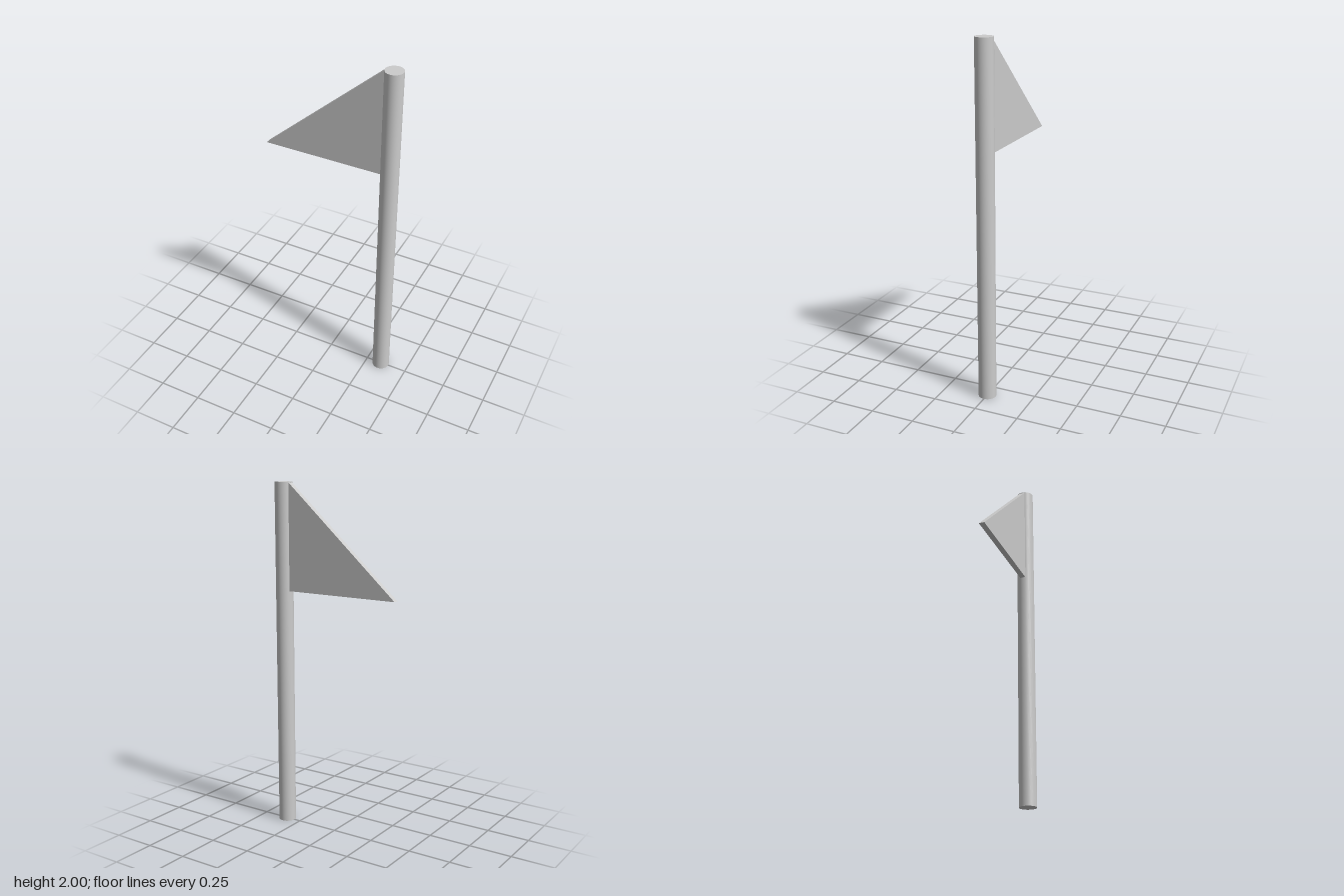
import * as THREE from 'three';

export function createModel() {
  const group = new THREE.Group();
  const material = new THREE.MeshStandardMaterial({ color: 0xcccccc });

  // Upright round pole
  const poleRadius = 0.05, poleHeight = 2, poleX = 0.34;
  const pole = new THREE.Mesh(
    new THREE.CylinderGeometry(poleRadius, poleRadius, poleHeight, 64), material);
  pole.name = 'pole';
  pole.position.set(poleX, poleHeight / 2, 0);
  group.add(pole);

  // Triangular pennant, its upright edge set just into the pole
  const outline = new THREE.Shape([
    new THREE.Vector2(-0.392, 1.392),
    new THREE.Vector2(0.297, 1.392),
    new THREE.Vector2(0.297, 2),
  ]);
  const flag = new THREE.Mesh(
    new THREE.ExtrudeGeometry(outline, { depth: 0.032, bevelEnabled: false }), material);
  flag.name = 'flag';
  flag.position.z = -0.018;
  group.add(flag);

  return group;
}
